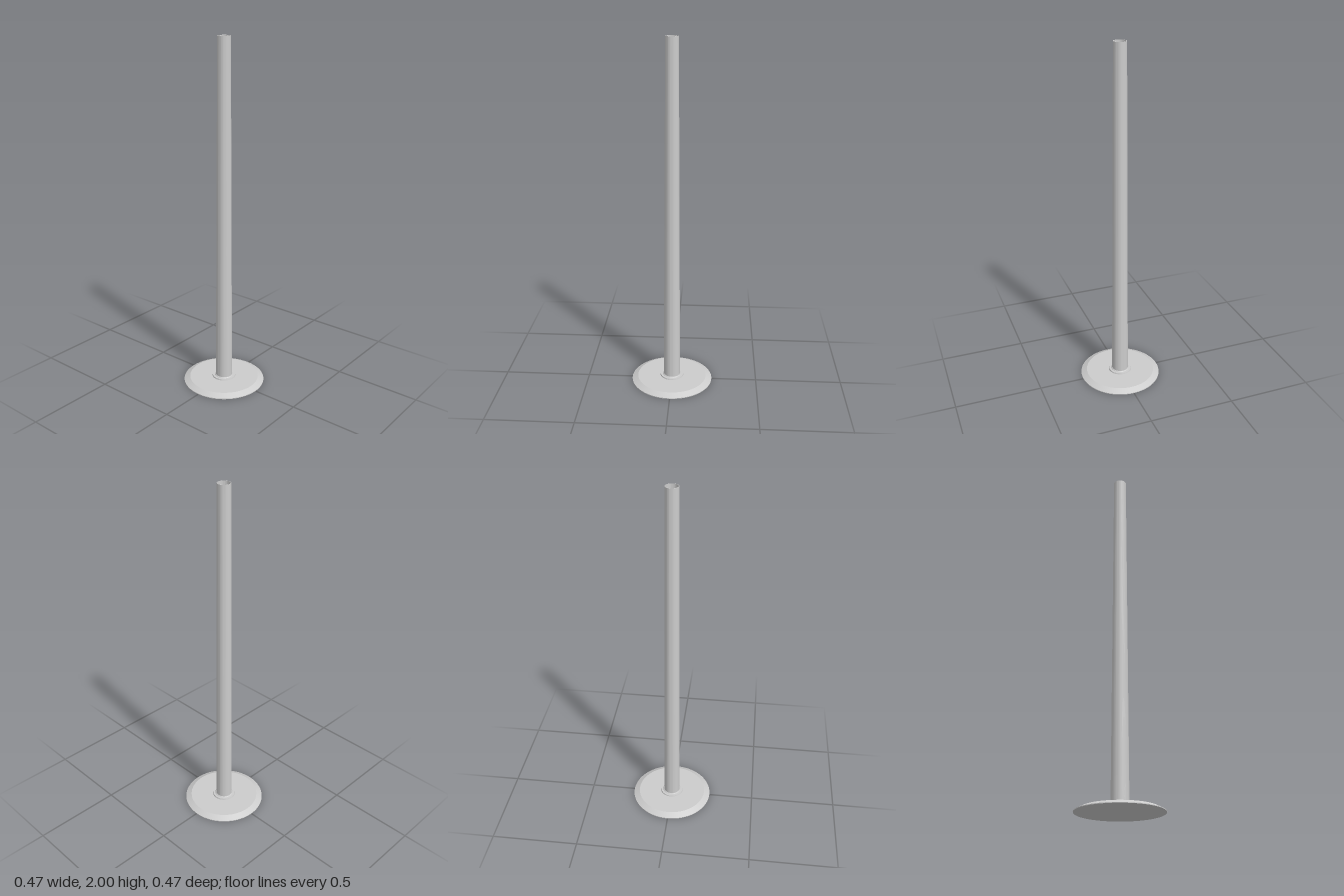
import * as THREE from 'three';
import { toCreasedNormals } from 'three/addons/utils/BufferGeometryUtils.js';

const material = new THREE.MeshStandardMaterial({ color: 0xcccccc, side: THREE.DoubleSide });

// Turned part from [radius, height] pairs, listed bottom to top along the outside
function turned(name, profile) {
  const points = profile.map(([r, y]) => new THREE.Vector2(r, y));
  const geometry = toCreasedNormals(new THREE.LatheGeometry(points, 96), Math.PI / 12);
  const mesh = new THREE.Mesh(geometry, material);
  mesh.name = name;
  return mesh;
}

export function createModel() {
  const group = new THREE.Group();
  group.name = 'pole';

  // Round foot plate with a wide bevel
  group.add(turned('basePlate', [
    [0, 0], [0.236, 0], [0.236, 0.004], [0.202, 0.021], [0, 0.021],
  ]));

  // Low collar with a small raised lip around the tube
  group.add(turned('collar', [
    [0.068, 0.021], [0.066, 0.028], [0.054, 0.028], [0.051, 0.032], [0.046, 0.032],
  ]));

  // Slightly tapered hollow tube, open at the top
  group.add(turned('tube', [
    [0.048, 0.021], [0.036, 2], [0.033, 2], [0.045, 0.021],
  ]));

  return group;
}
